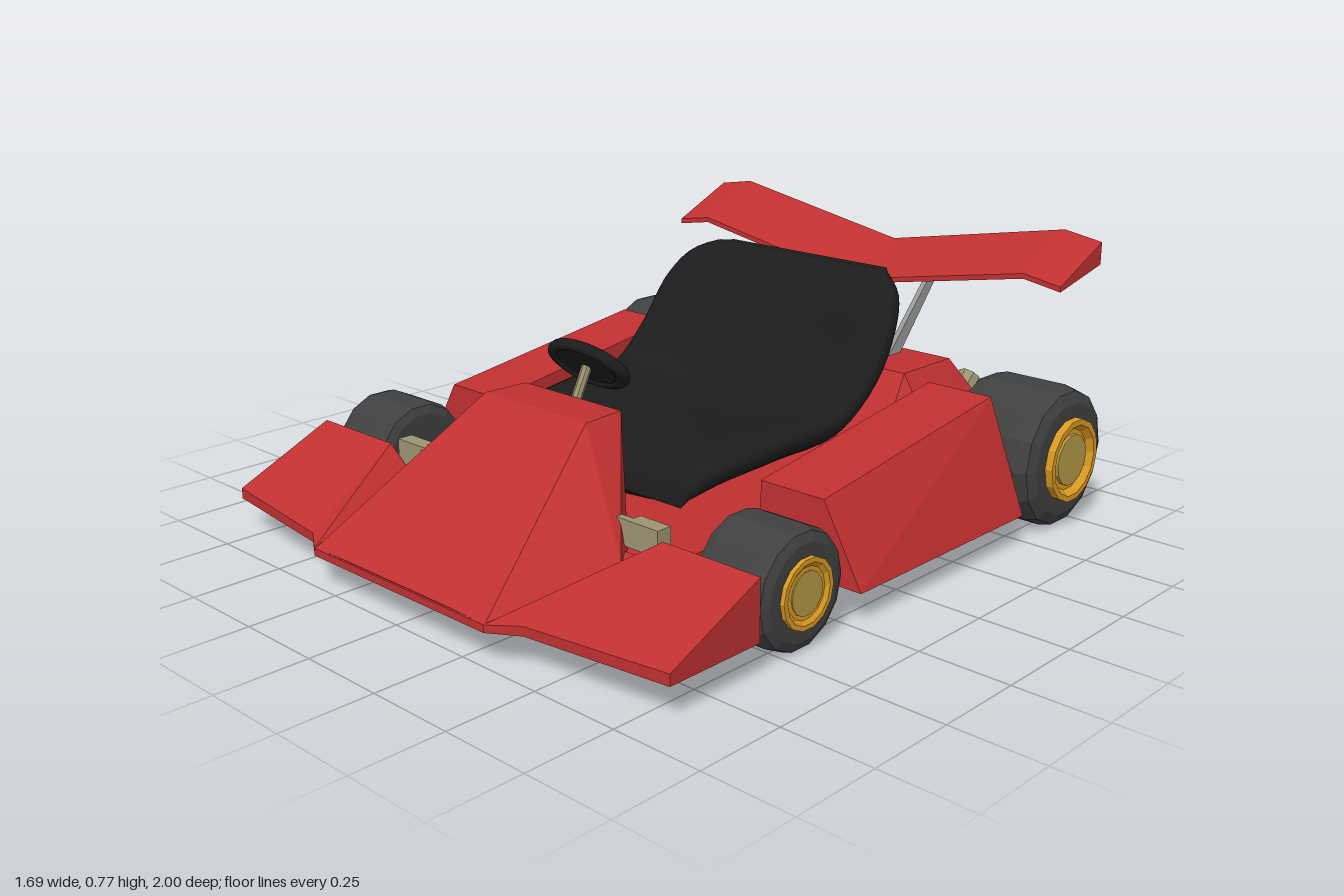
import * as THREE from 'three';
import { ConvexGeometry } from 'three/addons/geometries/ConvexGeometry.js';

const flat = (color) => new THREE.MeshStandardMaterial({ color, flatShading: true });
const red = flat(0xc03030), tyreGrey = flat(0x404040), gold = flat(0xd99a22);
const hubGold = flat(0xb59a45), khaki = flat(0x9c9472), steel = flat(0x999999);
const black = new THREE.MeshStandardMaterial({ color: 0x1c1c1c, side: THREE.DoubleSide });
const V = (x, y, z) => new THREE.Vector3(x, y, z);

export function createModel() {
  const kart = new THREE.Group();
  const add = (name, geometry, material, parent = kart) => {
    const mesh = new THREE.Mesh(geometry, material);
    mesh.name = name;
    parent.add(mesh);
    return mesh;
  };
  // Faceted solid around points; s mirrors x
  const hull = (name, points, s = 1, material = red) =>
    add(name, new ConvexGeometry(points.map(([x, y, z]) => V(s * x, y, z))), material);
  const both = (points) => [...points, ...points.map(([x, y, z]) => [-x, y, z])];
  const box = (name, x, y, z, w, h, d, material) =>
    add(name, new THREE.BoxGeometry(w, h, d).translate(x, y, z), material);
  const rod = (name, a, b, r, material) => {
    const mesh = add(name, new THREE.CylinderGeometry(r, r, a.distanceTo(b), 8), material);
    mesh.position.copy(a).lerp(b, 0.5);
    mesh.quaternion.setFromUnitVectors(V(0, 1, 0), b.clone().sub(a).normalize());
    return mesh;
  };

  // Floor, rear housing and nose
  box('floor', 0, 0.135, 0.07, 1.02, 0.09, 1.08, red);
  hull('rearHousing', both([
    [0.4, 0.4, -0.71], [0.4, 0.4, -0.49], [0.53, 0.2, -0.8], [0.47, 0.09, -0.82],
    [0.53, 0.22, -0.47], [0.51, 0.09, -0.45], [0.43, 0.22, -0.35], [0.43, 0.09, -0.35],
  ]));
  hull('nose', both([
    [0.18, 0.45, 0.41], [0.19, 0.45, 0.54], [0.16, 0.115, 1], [0.33, 0.11, 0.995],
    [0.43, 0.19, 0.66], [0.42, 0.1, 0.62],
  ]));

  // Front wing: each station gives back and front edge
  const wing = [
    { bx: 0.82, by: 0.25, fx: 0.82, fz: 0.9, fy: 0.12 },
    { bx: 0.52, by: 0.25, fx: 0.41, fz: 0.95, fy: 0.115 },
    { bx: 0.44, by: 0.19, fx: 0.33, fz: 1, fy: 0.11 },
    { bx: 0, by: 0.19, fx: 0, fz: 1, fy: 0.11 },
  ].map(({ bx, by, fx, fz, fy }) =>
    [[bx, by, 0.61], [bx, 0.09, 0.61], [fx, fy, fz], [fx, 0.09, fz]]);

  // Rear wing stations: leading edge, upper and lower trailing edge
  const spoiler = [[0.72, 0.64], [0.6, 0.66], [0, 0.55]].map(([x, y]) =>
    [[x, y, -0.76], [x, y + 0.015, -0.76], [x, y + 0.11, -0.97], [x, y + 0.045, -0.97]]);

  // Tyre and rim spun around the axle, outer side towards +x
  const spin = (profile) =>
    new THREE.LatheGeometry(profile.map(([r, h]) => new THREE.Vector2(r, h)), 14).rotateZ(-Math.PI / 2);
  const wheel = (name, s, x, z, r, w, rim, lip) => {
    const group = new THREE.Group();
    group.name = name;
    group.position.set(s * x, r, z);
    if (s < 0) group.rotation.y = Math.PI;
    add('tyre', spin([[0, -w], [0.8 * r, -w], [0.95 * r, -0.9 * w], [r, -0.65 * w], [r, 0.65 * w],
      [0.95 * r, 0.9 * w], [0.8 * r, w], [0, w]]), tyreGrey, group);
    add('rim', spin([[rim, 0.8 * w], [rim, w + lip], [0.86 * rim, w + lip], [0.74 * rim, w + 0.004],
      [0, w + 0.004]]), gold, group);
    add('hub', spin([[0.62 * rim, w], [0.62 * rim, w + 0.6 * lip], [0, w + 0.6 * lip]]), hubGold, group);
    kart.add(group);
  };

  for (const s of [1, -1]) {
    for (let i = 0; i < 3; i++) hull('frontWing', [...wing[i], ...wing[i + 1]], s);
    for (let i = 0; i < 2; i++) hull('rearWing', [...spoiler[i], ...spoiler[i + 1]], s);
    hull('sidePod', [
      [0.5, 0.3, 0.24], [0.7, 0.3, 0.24], [0.82, 0.09, 0.24], [0.5, 0.09, 0.24],
      [0.5, 0.4, -0.47], [0.7, 0.4, -0.47], [0.82, 0.09, -0.47], [0.5, 0.09, -0.47],
    ], s);
    wheel('frontWheel', s, 0.7, 0.44, 0.155, 0.11, 0.09, 0.012);
    wheel('rearWheel', s, 0.683, -0.68, 0.2, 0.142, 0.118, 0.022);
    // Wing struts, axle arms and front brackets
    hull('wingStrut', [0.242, 0.258].flatMap((x) =>
      [[x, 0.37, -0.58], [x, 0.37, -0.64], [x, 0.62, -0.81], [x, 0.62, -0.85]]), s, steel);
    rod('rearAxleArm', V(s * 0.4, 0.31, -0.68), V(s * 0.57, 0.23, -0.68), 0.03, steel);
    box('bracket', s * 0.445, 0.233, 0.58, 0.1, 0.068, 0.045, khaki);
    box('bracketTab', s * 0.38, 0.233, 0.592, 0.07, 0.068, 0.02, khaki);
    rod('frontAxle', V(s * 0.44, 0.155, 0.44), V(s * 0.62, 0.155, 0.44), 0.02, steel);
  }

  // Bucket seat: rings along a curve holding (half width, y, z)
  const path = new THREE.CatmullRomCurve3([
    V(0.33, 0.21, 0.35), V(0.39, 0.24, 0.25), V(0.42, 0.25, 0.02), V(0.43, 0.26, -0.2),
    V(0.44, 0.38, -0.36), V(0.43, 0.52, -0.45), V(0.39, 0.61, -0.5), V(0.29, 0.68, -0.54),
  ]);
  const rows = 28, cols = 32, pos = [], index = [];
  const soft = (v) => Math.sign(v) * Math.abs(v) ** 0.7;
  for (let i = 0; i <= rows; i++) {
    const t = i / rows, p = path.getPoint(t), d = path.getTangent(t);
    const len = Math.hypot(d.y, d.z), ny = -d.z / len, nz = d.y / len;
    const thick = 0.06 * Math.sqrt(Math.max(0, 1 - (2 * t - 1) ** 8));
    for (let j = 0; j < cols; j++) {
      const a = (j / cols) * Math.PI * 2, c = soft(Math.cos(a));
      const n = thick * soft(Math.sin(a)) + 0.08 * Math.sin(Math.PI * t) ** 0.5 * c * c;
      pos.push(p.x * c, p.y + ny * n, p.z + nz * n);
      if (i < rows) {
        const q = i * cols + j, r = i * cols + ((j + 1) % cols);
        index.push(q, r, q + cols, r, r + cols, q + cols);
      }
    }
  }
  const seat = new THREE.BufferGeometry();
  seat.setAttribute('position', new THREE.Float32BufferAttribute(pos, 3));
  seat.setIndex(index);
  seat.computeVertexNormals();
  add('seat', seat, black);

  // Steering wheel facing the driver, on its column
  const steering = new THREE.Group();
  steering.name = 'steeringWheel';
  steering.position.set(0, 0.525, 0.35);
  steering.rotation.x = Math.PI + 0.66;
  add('steeringRim', new THREE.TorusGeometry(0.12, 0.022, 8, 24).scale(1, 0.6, 0.8), black, steering);
  add('steeringPad', new THREE.CylinderGeometry(0.11, 0.11, 0.02, 24).rotateX(Math.PI / 2).scale(1, 0.6, 1), black, steering);
  kart.add(steering);
  rod('steeringColumn', V(0, 0.52, 0.355), V(0, 0.17, 0.53), 0.014, khaki);

  // Exhaust with a flared, open mouth
  const bend = new THREE.CatmullRomCurve3([
    V(0.3, 0.2, -0.76), V(0.3, 0.185, -0.86), V(0.3, 0.205, -0.91), V(0.3, 0.25, -0.955)]);
  const pipeMaterial = khaki.clone();
  pipeMaterial.side = THREE.DoubleSide;
  add('exhaustPipe', new THREE.TubeGeometry(bend, 10, 0.032, 8), pipeMaterial);
  const tip = add('exhaustTip', new THREE.CylinderGeometry(0.036, 0.034, 0.05, 8, 1, true), pipeMaterial);
  tip.position.set(0.3, 0.255, -0.958);
  tip.rotation.x = -0.8;

  return kart;
}
